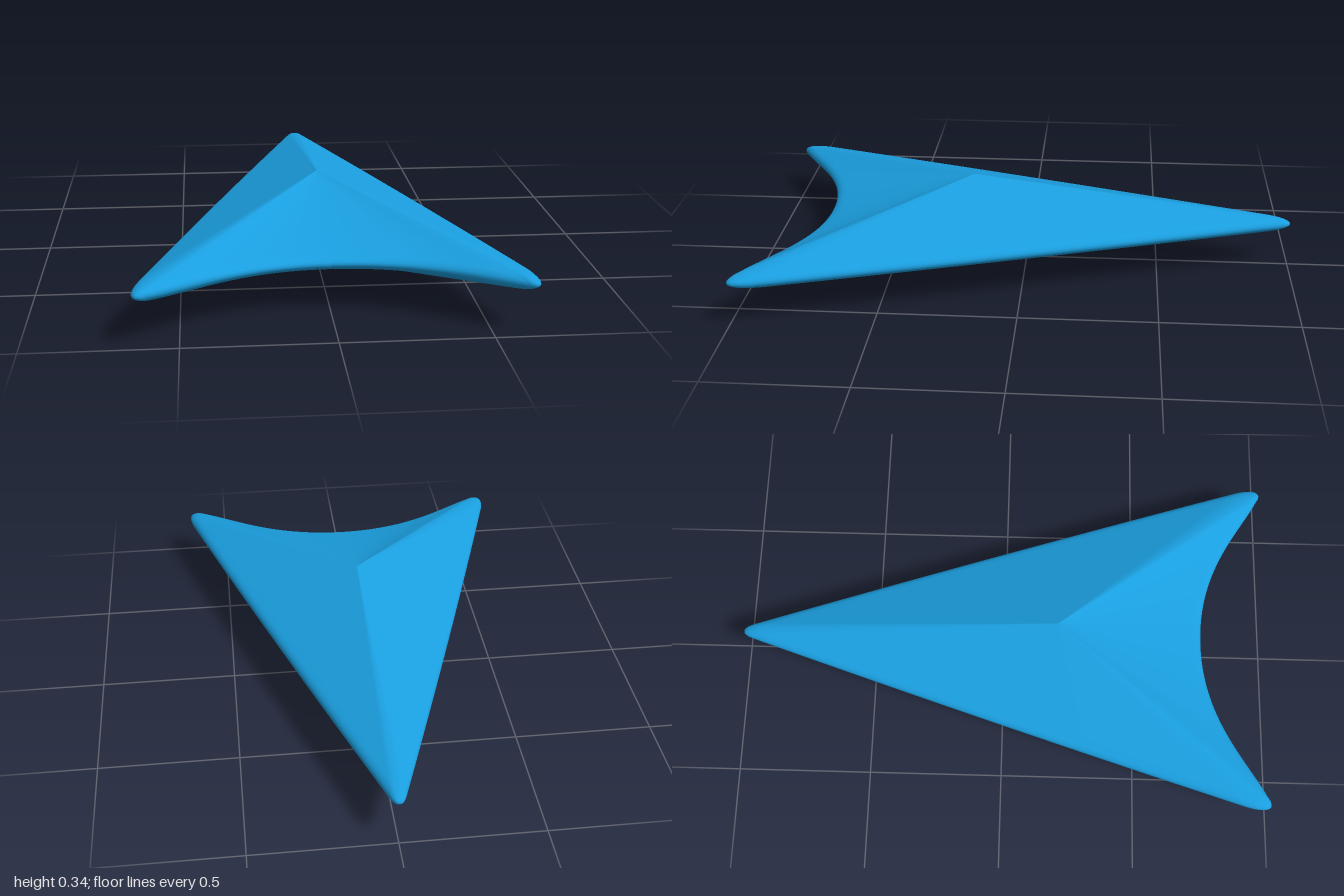
import * as THREE from 'three';

const MID = 0.17; // height of the rim
const APEX_Z = 0.2; // upper and lower peaks sit here

// Right half of the plan outline (x, z), from the notch to the nose
function halfOutline() {
  const v = (x, z) => new THREE.Vector2(x, z);
  const path = new THREE.CurvePath();
  path.add(new THREE.CubicBezierCurve(v(0, 0.75), v(0.3, 0.75), v(0.46, 0.91), v(0.6, 0.985)));
  path.add(new THREE.CubicBezierCurve(v(0.6, 0.985), v(0.64, 1.015), v(0.66, 0.985), v(0.635, 0.9)));
  path.add(new THREE.QuadraticBezierCurve(v(0.635, 0.9), v(0.355, 0), v(0.03, -0.96)));
  path.add(new THREE.CubicBezierCurve(v(0.03, -0.96), v(0.018, -0.995), v(0.01, -1), v(0, -1)));
  return path.getPoints(32);
}

function arrowGeometry() {
  const half = halfOutline();
  const mirrored = half.slice(0, -1).reverse().map((p) => new THREE.Vector2(-p.x, p.y));
  const ring = [...half, ...mirrored];

  // Section from peak to rim: [share of the way out, height above the rim]
  const upper = [[0, 0.17], [0.3, 0.124], [0.6, 0.078], [0.88, 0.035], [0.93, 0.0275],
    [0.955, 0.023], [0.975, 0.018], [0.99, 0.011], [0.997, 0.006]];
  const lower = upper.map(([t, h]) => [t, -h]).reverse();
  const section = [...upper, [1, 0], ...lower];

  const positions = [];
  const index = [];
  const n = ring.length;
  section.forEach(([t, h], i) => {
    ring.forEach((p, j) => {
      positions.push(p.x * t, MID + h, APEX_Z + (p.y - APEX_Z) * t);
      if (i === section.length - 1 || j === n - 1) return;
      const a = i * n + j;
      const b = a + n;
      if (i < section.length - 2) index.push(a, b, b + 1);
      else index.push(a, b, a + 1);
      if (i > 0 && i < section.length - 2) index.push(a, b + 1, a + 1);
    });
  });

  const geometry = new THREE.BufferGeometry();
  geometry.setAttribute('position', new THREE.Float32BufferAttribute(positions, 3));
  geometry.setIndex(index);
  geometry.computeVertexNormals();
  return geometry;
}

export function createModel() {
  const group = new THREE.Group();
  group.name = 'navigationArrow';
  const body = new THREE.Mesh(
    arrowGeometry(),
    new THREE.MeshStandardMaterial({ color: 0x1a9fe0 }),
  );
  body.name = 'arrowBody';
  group.add(body);
  return group;
}
